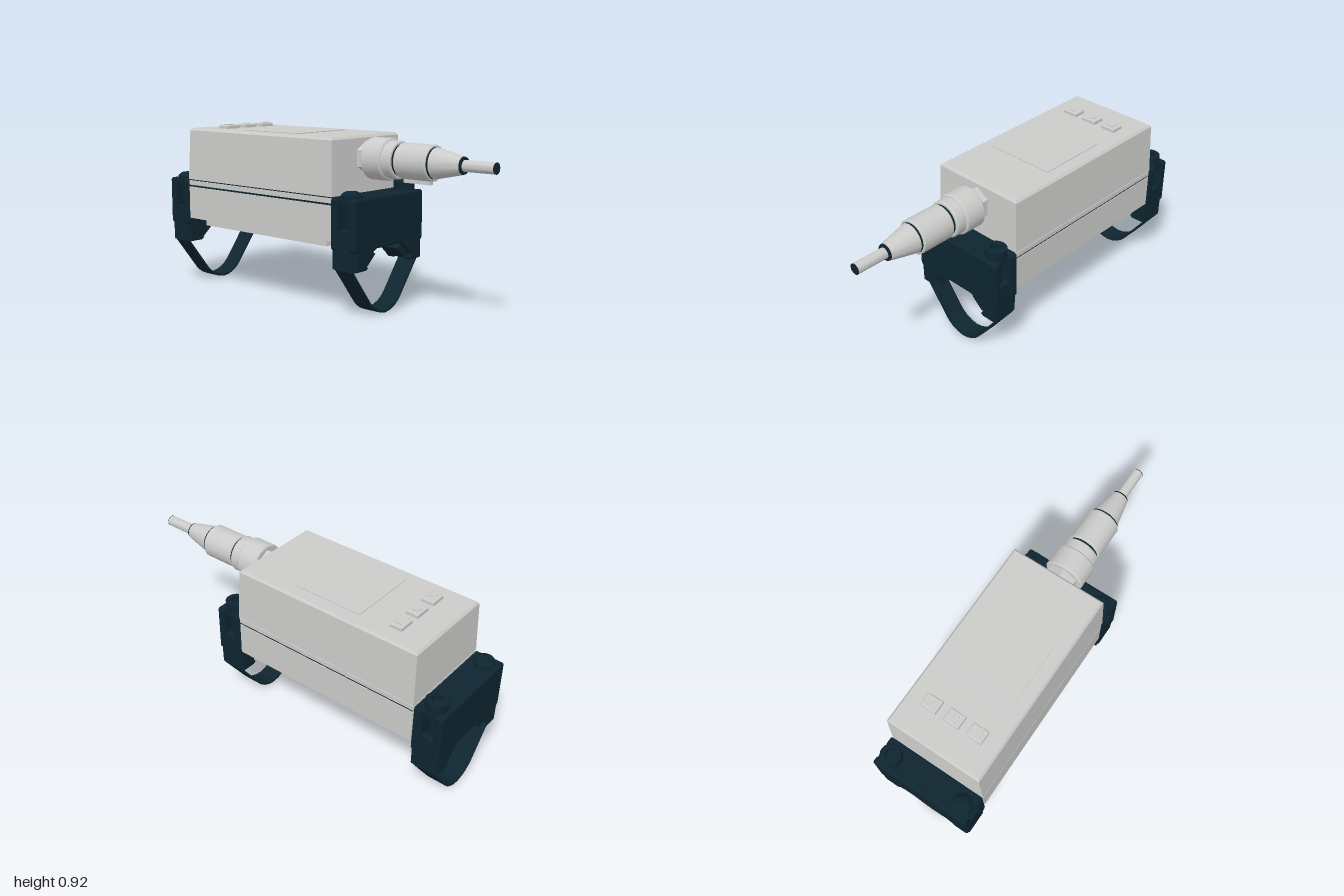
import * as THREE from 'three';
import { toCreasedNormals } from 'three/addons/utils/BufferGeometryUtils.js';

export function createModel() {
  const root = new THREE.Group();
  root.name = 'sensorTransmitter';
  const grey = new THREE.MeshStandardMaterial({ color: 0xcbccca });
  grey.name = 'light grey plastic';
  const navy = new THREE.MeshStandardMaterial({ color: 0x0e2530 });
  navy.name = 'dark navy plastic';

  const add = (parent, name, geo, mat, x = 0, y = 0, z = 0) => {
    const m = new THREE.Mesh(geo, mat);
    m.name = name;
    m.position.set(x, y, z);
    parent.add(m);
    return m;
  };
  // box given by its limits
  const box = (parent, name, mat, x0, x1, y0, y1, z0, z1) =>
    add(parent, name, new THREE.BoxGeometry(x1 - x0, y1 - y0, z1 - z0), mat,
      (x0 + x1) / 2, (y0 + y1) / 2, (z0 + z1) / 2);
  const shapeOf = pts => new THREE.Shape(pts.map(p => new THREE.Vector2(p[0], p[1])));
  const extrude = (shape, depth, bevel = 0) => {
    const g = new THREE.ExtrudeGeometry(shape, {
      depth: depth - 2 * bevel, bevelEnabled: bevel > 0, bevelThickness: bevel,
      bevelSize: bevel, bevelOffset: -bevel, bevelSegments: 2, curveSegments: 10,
    });
    g.translate(0, 0, bevel);
    return g;
  };
  // lathe around z, profile as [radius, z]
  const latheZ = (pts, seg = 40) => {
    const g = new THREE.LatheGeometry(pts.map(p => new THREE.Vector2(p[0], p[1])), seg);
    g.rotateX(Math.PI / 2);
    return toCreasedNormals(g, 0.5);
  };

  // housing: straight lower shell, dark seam, tapered lid with chamfered top
  const housing = new THREE.Group();
  housing.name = 'housing';
  root.add(housing);
  box(housing, 'lowerShell', grey, -0.27, 0.27, 0.39, 0.57, -0.84, 0.24);
  box(housing, 'seam', navy, -0.266, 0.266, 0.57, 0.58, -0.836, 0.236);
  box(housing, 'seamBand', grey, -0.27, 0.27, 0.58, 0.606, -0.84, 0.24);
  box(housing, 'lidJoint', navy, -0.266, 0.266, 0.606, 0.612, -0.836, 0.236);
  const taperedBox = (y0, y1, inset0, inset1) => {
    const g = new THREE.BoxGeometry(1, 1, 1), p = g.attributes.position;
    for (let i = 0; i < p.count; i++) {
      const top = p.getY(i) > 0, inset = top ? inset1 : inset0;
      p.setXYZ(i, Math.sign(p.getX(i)) * (0.272 - inset), top ? y1 : y0,
        -0.3 + Math.sign(p.getZ(i)) * (0.541 - inset));
    }
    g.computeVertexNormals();
    return g;
  };
  add(housing, 'lid', taperedBox(0.612, 0.888, 0, 0.01), grey);
  add(housing, 'lidChamfer', taperedBox(0.888, 0.9, 0.01, 0.02), grey);

  // display and three keys with raised symbols
  box(root, 'display', grey, -0.19, 0.19, 0.9, 0.904, -0.46, -0.07);
  const triangle = s => shapeOf([[-0.022 * s, 0.02], [-0.022 * s, -0.02], [0.022 * s, -0.02]]);
  const circle = new THREE.Shape();
  circle.absarc(0, 0, 0.022, 0, Math.PI * 2);
  [triangle(1), circle, triangle(-1)].forEach((shape, i) => {
    const x = (i - 1) * 0.13;
    add(root, 'key', taperKey(), grey, x, 0.9, -0.65);
    const icon = add(root, 'keySymbol', extrude(shape, 0.004), grey, x, 0.92, -0.65);
    icon.rotation.x = -Math.PI / 2;
  });
  function taperKey() {
    const g = extrude(shapeOf([[-0.043, -0.035], [0.043, -0.035], [0.043, 0.035], [-0.043, 0.035]]), 0.028, 0.006);
    g.rotateX(-Math.PI / 2);
    g.translate(0, -0.008, 0);
    return g;
  }

  // base plate with a cross slot
  const base = shapeOf([[-0.22, -0.16], [0.22, -0.16], [0.22, 0.76], [-0.22, 0.76]]);
  base.holes.push(new THREE.Path([[-0.12, 0.29], [-0.12, 0.32], [0.12, 0.32], [0.12, 0.29]]
    .map(p => new THREE.Vector2(p[0], p[1]))));
  add(root, 'basePlate', extrude(base, 0.042), grey, 0, 0.349, 0).rotation.x = -Math.PI / 2;

  // cable connector along +z
  const connector = new THREE.Group();
  connector.name = 'cableConnector';
  connector.position.y = 0.787;
  root.add(connector);
  const nut = new THREE.CylinderGeometry(0.085, 0.085, 0.07, 6);
  nut.rotateX(Math.PI / 2);
  add(connector, 'hexNut', toCreasedNormals(nut, 0.3), grey, 0, 0, 0.255);
  add(connector, 'couplingRing', latheZ([[0, 0.28], [0.1, 0.28], [0.107, 0.287], [0.107, 0.393],
    [0.1, 0.4], [0.096, 0.4], [0.096, 0.45], [0.09, 0.457], [0, 0.457]]), grey);
  add(connector, 'couplingGroove', latheZ([[0.08, 0.455], [0.08, 0.475]]), navy);
  add(connector, 'plugBody', latheZ([[0, 0.47], [0.084, 0.47], [0.089, 0.476], [0.089, 0.654],
    [0.084, 0.66], [0, 0.66]]), grey);
  add(connector, 'plugGroove', latheZ([[0.078, 0.655], [0.078, 0.67]]), navy);
  add(connector, 'strainRelief', latheZ([[0, 0.668], [0.076, 0.668], [0.072, 0.69],
    [0.044, 0.82], [0, 0.82]]), grey);
  add(connector, 'cableSeal', latheZ([[0.043, 0.82], [0.041, 0.828], [0.02, 0.828]]), navy);
  add(connector, 'cable', latheZ([[0.028, 0.82], [0.028, 0.997]], 24), grey);
  add(connector, 'cableEnd', latheZ([[0.028, 0.997], [0.028, 1], [0, 1]], 24), navy);
  box(connector, 'plugKey', grey, -0.012, 0.012, -0.107, -0.08, 0.48, 0.64);

  // clamp bracket, depth measured from its inner face at z = 0 to 0.155
  const mirrored = half => shapeOf([...half, ...half.slice().reverse().map(p => [-p[0], p[1]])]);
  const wall = mirrored([[0.1, 0.35], [0.125, 0.335], [0.18, 0.28], [0.165, 0.262], [0.18, 0.25], [0.262, 0.25],
    [0.264, 0.345], [0.275, 0.36], [0.275, 0.6], [0.265, 0.61]]);
  const strapHalf = [[0.265, 0.25], [0.12, 0.06], [0.1, 0.04], [0.075, 0.022], [0.04, 0.007], [0, 0]];
  const strapLine = [...strapHalf, ...strapHalf.slice(0, -1).reverse().map(p => [-p[0], p[1]])];
  const strap = shapeOf([...strapLine, ...strapLine.slice().reverse().map(p => [p[0] * 0.985, p[1] + 0.012])]);

  function bracket(z, dir) {
    const g = new THREE.Group();
    g.name = 'clampBracket';
    g.position.z = z;
    root.add(g);
    // place a span of depths on the correct side
    const span = (a, b) => (dir > 0 ? [a, b] : [-b, -a]);
    const slab = (name, shape, a, b, bevel) =>
      add(g, name, extrude(shape, b - a, bevel), navy, 0, 0, span(a, b)[0]);
    slab('innerWall', wall, 0, 0.045, 0.006);
    slab('outerWall', wall, 0.115, 0.155, 0.01);
    box(g, 'topCap', navy, -0.268, 0.268, 0.58, 0.608, ...span(0.02, 0.145));
    box(g, 'mountingTab', grey, -0.2, 0.2, 0.362, 0.382, ...span(0.04, 0.118));
    slab('strap', strap, 0.022, 0.13, 0);
    for (const s of [-1, 1]) {
      const x0 = s > 0 ? 0.18 : -0.268, x1 = s > 0 ? 0.268 : -0.18;
      box(g, 'legCore', navy, x0, x1, 0.255, 0.45, ...span(0.02, 0.14));
      // slanted strap jaw
      slab('strapJaw', shapeOf([[s * 0.165, 0.263], [s * 0.2, 0.3], [s * 0.127, 0.345],
        [s * 0.088, 0.32], [s * 0.15, 0.265]]), 0.022, 0.133, 0);
      add(g, 'screwShaft', new THREE.CylinderGeometry(0.028, 0.028, 0.16, 20), navy,
        s * 0.21, 0.52, dir * 0.08);
    }
    // socket screw head on one side, domed pivot head on the other
    const lathe = pts => toCreasedNormals(
      new THREE.LatheGeometry(pts.map(p => new THREE.Vector2(p[0], p[1])), 28), 0.6);
    add(g, 'socketScrewHead', lathe([[0.055, 0], [0.055, 0.048], [0.05, 0.053], [0.028, 0.053],
      [0.028, 0.025], [0, 0.025]]), navy, 0.21, 0.607, dir * 0.08);
    add(g, 'domedScrewHead', lathe([[0.053, 0], [0.053, 0.015], [0.045, 0.026], [0.028, 0.034],
      [0, 0.037]]), navy, -0.21, 0.607, dir * 0.08);
  }
  bracket(0.236, 1);
  bracket(-0.845, -1);
  return root;
}
